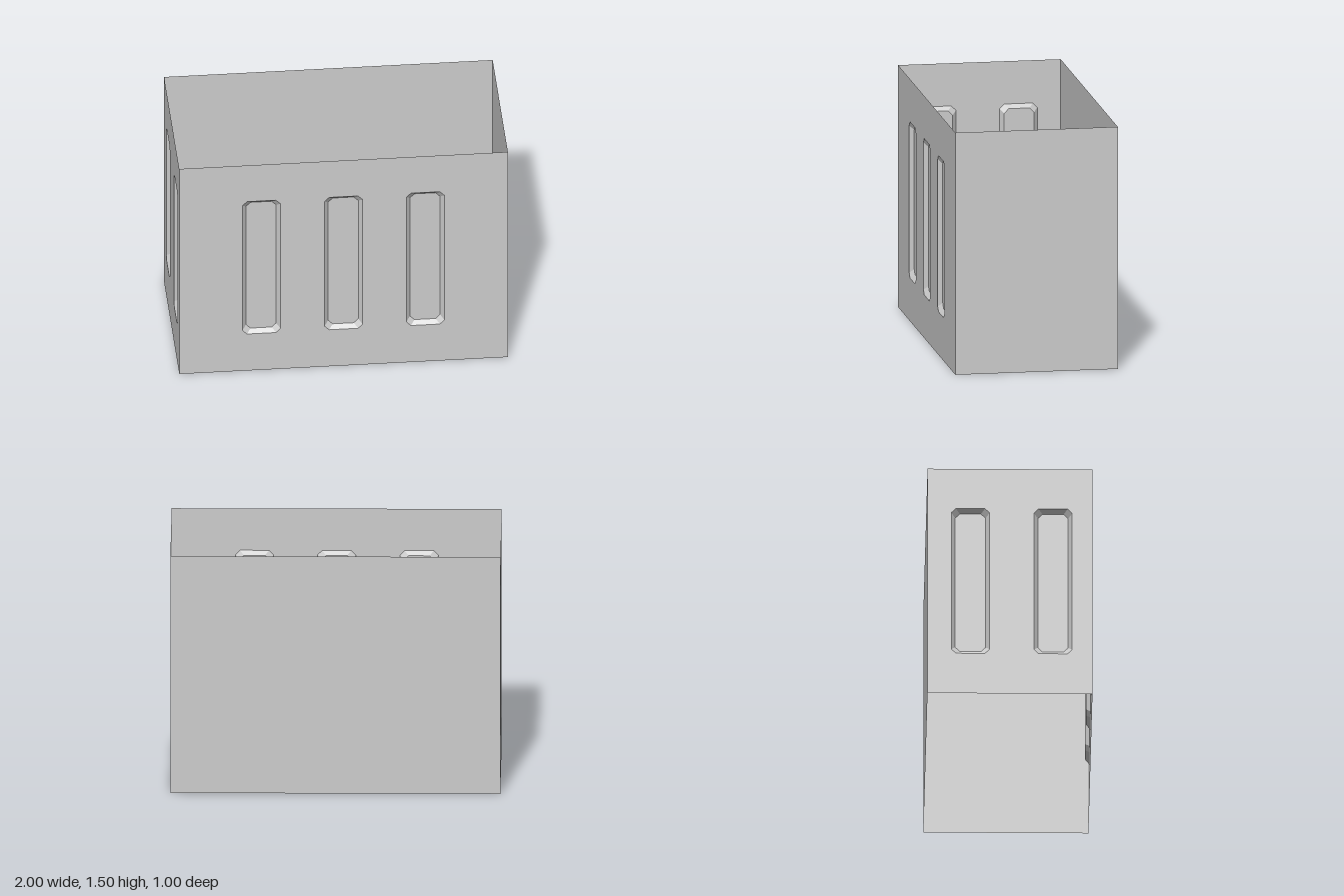
import * as THREE from 'three';

const WIDTH = 2, DEPTH = 1, HEIGHT = 1.5;
const SLOT = { half: 0.116, bottom: 0.267, top: 1.235, chamfer: 0.028, inset: 0.024, depth: 0.027 };

const material = new THREE.MeshStandardMaterial({
  color: 0xcccccc, flatShading: true, side: THREE.DoubleSide,
});

// Counter-clockwise rectangle with cut corners, shrunk by inset
function slotOutline(cx, inset) {
  const c = SLOT.chamfer;
  const l = cx - SLOT.half + inset, r = cx + SLOT.half - inset;
  const b = SLOT.bottom + inset, t = SLOT.top - inset;
  return [[l + c, b], [r - c, b], [r, b + c], [r, t - c], [r - c, t], [l + c, t], [l, t - c], [l, b + c]]
    .map(([x, y]) => new THREE.Vector2(x, y));
}

// Sloping rim between the wall opening and the recessed panel
function bevelGeometry(outer, inner) {
  const pos = [], n = outer.length;
  for (let i = 0; i < n; i++) {
    const j = (i + 1) % n;
    const a = [outer[i].x, outer[i].y, 0], b = [outer[j].x, outer[j].y, 0];
    const c = [inner[j].x, inner[j].y, -SLOT.depth], d = [inner[i].x, inner[i].y, -SLOT.depth];
    pos.push(...a, ...b, ...c, ...a, ...c, ...d);
  }
  const g = new THREE.BufferGeometry();
  g.setAttribute('position', new THREE.Float32BufferAttribute(pos, 3));
  g.computeVertexNormals();
  return g;
}

function addMesh(parent, geometry, name) {
  const mesh = new THREE.Mesh(geometry, material);
  mesh.name = name;
  parent.add(mesh);
  return mesh;
}

// Flat wall facing local +z, with a recessed panel at each slot centre
function makeWall(name, width, slotCentres = []) {
  const wall = new THREE.Group();
  wall.name = name;
  const w = width / 2;
  const shape = new THREE.Shape([[-w, 0], [w, 0], [w, HEIGHT], [-w, HEIGHT]]
    .map(([x, y]) => new THREE.Vector2(x, y)));
  for (const cx of slotCentres) {
    const outer = slotOutline(cx, 0), inner = slotOutline(cx, SLOT.inset);
    shape.holes.push(new THREE.Path(outer));
    addMesh(wall, bevelGeometry(outer, inner), 'recessBevel');
    addMesh(wall, new THREE.ShapeGeometry(new THREE.Shape(inner)), 'recessPanel')
      .position.z = -SLOT.depth;
  }
  addMesh(wall, new THREE.ShapeGeometry(shape), 'wallSheet');
  return wall;
}

export function createModel() {
  const model = new THREE.Group();
  model.name = 'openWallShell';

  // Front: three recesses
  const front = makeWall('frontWall', WIDTH, [-0.5, 0, 0.498]);
  front.position.z = DEPTH / 2;

  // Back: plain
  const back = makeWall('backWall', WIDTH);
  back.position.z = -DEPTH / 2;
  back.rotation.y = Math.PI;

  // Model's right (-x): two recesses
  const right = makeWall('rightWall', DEPTH, [-0.24, 0.261]);
  right.position.x = -WIDTH / 2;
  right.rotation.y = -Math.PI / 2;

  // Model's left (+x): plain
  const left = makeWall('leftWall', DEPTH);
  left.position.x = WIDTH / 2;
  left.rotation.y = Math.PI / 2;

  model.add(front, back, right, left);
  return model;
}
